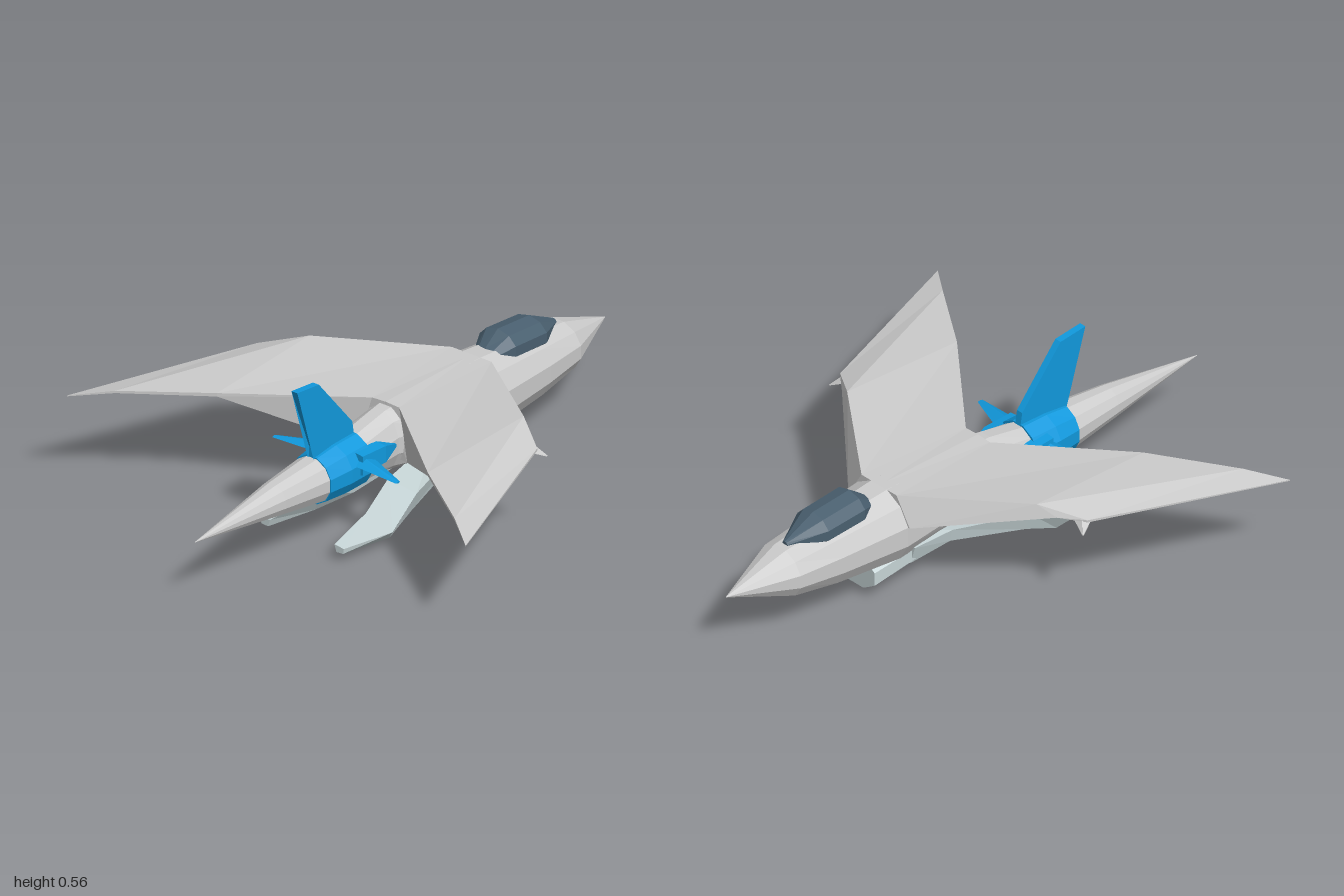
import * as THREE from 'three';

const paint = (color) => new THREE.MeshStandardMaterial({ color, flatShading: true });
const grey = paint(0xcccccc), pale = paint(0xc6d4d6), blue = paint(0x1199dd), glass = paint(0x4a6070);

// Skin a row of closed cross-sections (equal point counts), cap both ends, face outwards.
function loft(name, sections, material) {
  const tris = [];
  const n = sections[0].length;
  for (let i = 0; i < sections.length - 1; i++) {
    const a = sections[i], b = sections[i + 1];
    for (let j = 0; j < n; j++) {
      const k = (j + 1) % n;
      tris.push([a[j], a[k], b[k]], [a[j], b[k], b[j]]);
    }
  }
  const first = sections[0], last = sections[sections.length - 1];
  for (let j = 1; j < n - 1; j++) {
    tris.push([first[0], first[j + 1], first[j]], [last[0], last[j], last[j + 1]]);
  }
  // signed volume tells whether the winding must be flipped
  const v = (p) => new THREE.Vector3(...p);
  const volume = tris.reduce((sum, [p, q, r]) => sum + v(p).dot(v(q).cross(v(r))), 0);
  const points = tris.flatMap(([p, q, r]) => (volume < 0 ? [p, r, q] : [p, q, r]));
  const geometry = new THREE.BufferGeometry();
  geometry.setAttribute('position', new THREE.Float32BufferAttribute(points.flat(), 3));
  geometry.computeVertexNormals();
  const mesh = new THREE.Mesh(geometry, material);
  mesh.name = name;
  return mesh;
}

// Elliptical ring across the body: z, half width, bottom, top
function ring([z, w, bottom, top], sides = 12) {
  return Array.from({ length: sides }, (_, i) => {
    const a = ((i + 0.5) / sides) * Math.PI * 2;
    return [Math.cos(a) * w, (top + bottom) / 2 + (Math.sin(a) * (top - bottom)) / 2, z];
  });
}

const mirror = (sections, s) => sections.map((loop) => loop.map(([x, y, z]) => [x * s, y, z]));

export function createModel() {
  const group = new THREE.Group();
  const craft = new THREE.Group();
  craft.name = 'aircraft';
  craft.position.x = 0.016;
  group.add(craft);

  // Fuselage: nose cone, cockpit section, waist
  craft.add(loft('fuselage', [
    [-1, 0.001, 0.229, 0.231],
    [-0.77, 0.097, 0.14, 0.315],
    [-0.6, 0.115, 0.11, 0.335],
    [-0.35, 0.138, 0.09, 0.36],
    [0.0, 0.11, 0.115, 0.355],
    [0.1, 0.08, 0.13, 0.345],
    [0.25, 0.08, 0.14, 0.315],
  ].map((r) => ring(r)), grey));

  // Tail band and long tail cone
  craft.add(loft('tailBand', [[0.24, 0.092, 0.138, 0.322], [0.34, 0.092, 0.137, 0.32],
    [0.43, 0.08, 0.142, 0.308]].map((r) => ring(r)), blue));
  craft.add(loft('tailCone', [[0.42, 0.078, 0.145, 0.305], [0.62, 0.055, 0.173, 0.287],
    [1, 0.001, 0.229, 0.231]].map((r) => ring(r)), grey));

  // Canopy
  craft.add(loft('canopy', [
    [-0.75, 0.012, 0.3, 0.325],
    [-0.63, 0.075, 0.27, 0.382],
    [-0.477, 0.077, 0.28, 0.395],
    [-0.415, 0.045, 0.3, 0.35],
  ].map((r) => ring(r, 10)), glass));

  // Vertical fin: outline in z, y
  const outline = [[0.515, 0.563], [0.41, 0.552], [0.247, 0.36], [0.235, 0.29], [0.43, 0.28], [0.43, 0.34]];
  craft.add(loft('verticalFin', [-0.012, 0.012].map((x) => outline.map(([z, y]) => [x, y, z])), blue));

  for (const s of [1, -1]) {
    const side = s > 0 ? 'left' : 'right';
    const span = (x) => (s > 0 && x > 0.2 ? 0.14 + (x - 0.14) * 0.95 : x);

    // Wing: each section is top front, top rear, bottom rear, bottom front
    const wing = [
      [[0, 0.355, -0.35], [0, 0.355, 0.07], [0, 0.18, 0.075], [0, 0.26, -0.35]],
      [[0.08, 0.355, -0.35], [0.055, 0.352, 0.07], [0.1, 0.18, 0.085], [0.14, 0.26, -0.35]],
      [[0.44, 0.38, -0.09], [0.433, 0.362, 0.37], [0.433, 0.35, 0.37], [0.5, 0.345, -0.06]],
      [[0.576, 0.345, 0], [0.7, 0.352, 0.545], [0.7, 0.344, 0.545], [0.576, 0.337, 0]],
      [[0.82, 0.33, 0.627], [0.822, 0.33, 0.632], [0.822, 0.327, 0.632], [0.82, 0.327, 0.627]],
    ].map((loop) => loop.map(([x, y, z]) => [span(x), y, z]));
    craft.add(loft(side + 'Wing', mirror(wing, s), grey));

    // Small dart hanging under the wing kink
    const dart = [
      [[0.51, 0.345, -0.01], [0.565, 0.342, 0.035], [0.56, 0.345, -0.01]],
      [[0.589, 0.309, -0.034], [0.591, 0.309, -0.03], [0.591, 0.311, -0.034]],
    ].map((loop) => loop.map(([x, y, z]) => [span(x), y, z]));
    craft.add(loft(side + 'WingDart', mirror(dart, s), grey));

    // Tailplane: swept, thin towards its tip
    craft.add(loft(side + 'Tailplane', mirror([
      [[0.07, 0.255, 0.23], [0.07, 0.275, 0.28], [0.07, 0.255, 0.32], [0.07, 0.238, 0.28]],
      [[0.25, 0.249, 0.302], [0.25, 0.252, 0.31], [0.25, 0.249, 0.322], [0.25, 0.246, 0.31]],
    ], s), blue));

    // Fairing ahead of the tailplane root
    craft.add(loft(side + 'TailFairing', mirror([
      [[0.07, 0.245, 0.12], [0.085, 0.245, 0.12], [0.085, 0.255, 0.12], [0.07, 0.255, 0.12]],
      [[0.055, 0.215, 0.19], [0.102, 0.225, 0.19], [0.1, 0.28, 0.19], [0.06, 0.285, 0.19]],
      [[0.055, 0.21, 0.3], [0.1, 0.22, 0.3], [0.098, 0.285, 0.3], [0.06, 0.29, 0.3]],
    ], s), blue));

    // Ventral fin: inner top, outer top, outer bottom, inner bottom
    craft.add(loft(side + 'VentralFin', mirror([
      [[0.0, 0.16, -0.3], [0.11, 0.15, -0.3], [0.09, 0.085, -0.3], [0.0, 0.07, -0.3]],
      [[0.02, 0.155, -0.155], [0.125, 0.16, -0.155], [0.115, 0.115, -0.155], [0.03, 0.095, -0.155]],
      [[0.06, 0.13, 0.13], [0.175, 0.115, 0.13], [0.155, 0.05, 0.13], [0.08, 0.035, 0.13]],
      [[0.095, 0.08, 0.28], [0.218, 0.06, 0.3], [0.165, 0.005, 0.25], [0.135, 0.005, 0.25]],
      [[0.13, 0.06, 0.477], [0.168, 0.055, 0.477], [0.165, 0.037, 0.477], [0.138, 0.035, 0.477]],
    ], s), pale));
  }

  // Chin scoop feeding the two ventral fins
  craft.add(loft('chinScoop', [
    [-0.45, 0.095, 0.03, 0.15],
    [-0.3, 0.105, 0.062, 0.17],
    [-0.155, 0.1, 0.095, 0.18],
    [0.0, 0.05, 0.115, 0.18],
  ].map((r) => ring(r, 8)), pale));

  return group;
}
